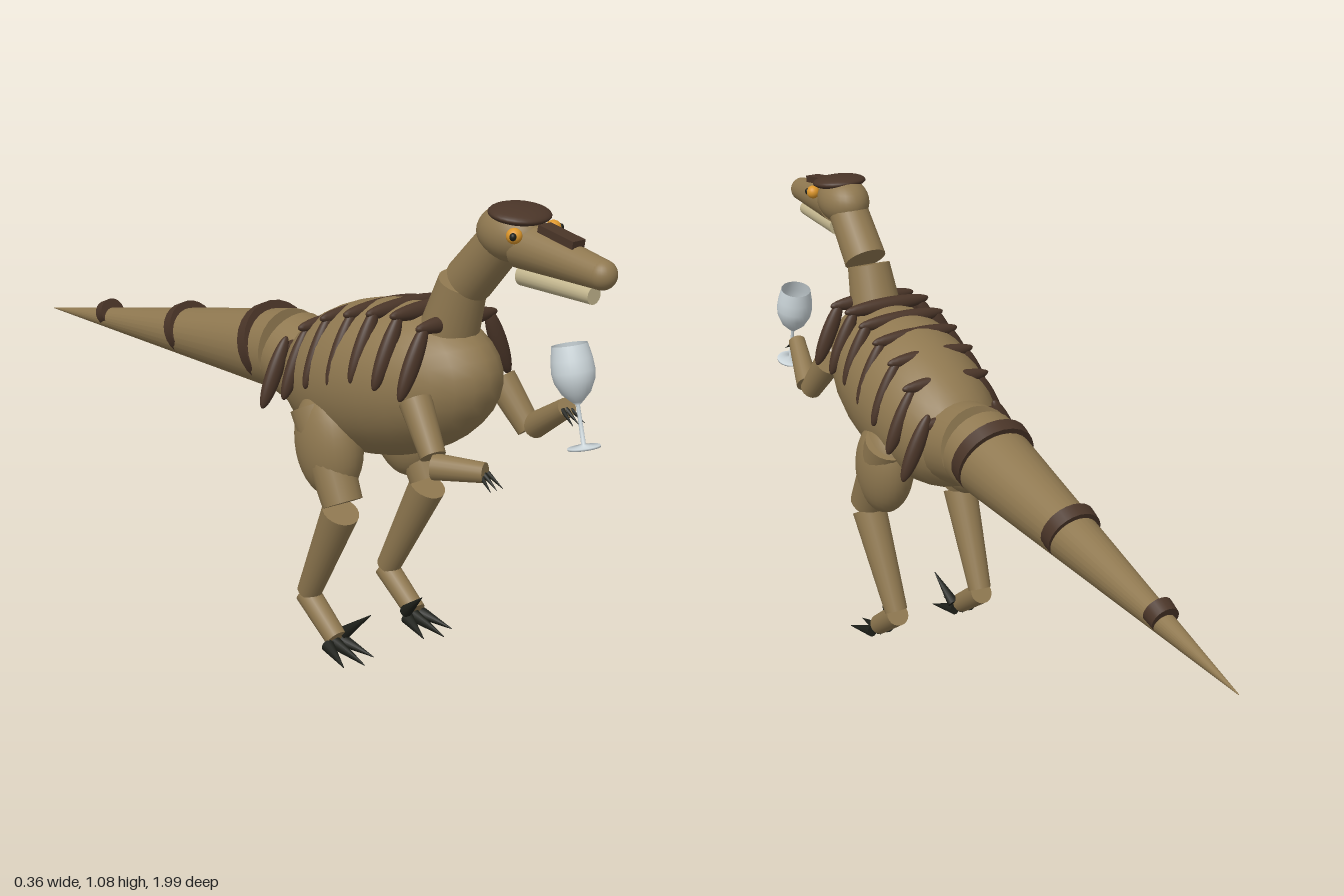
import * as THREE from 'three';

const mat = (name, color) => {
  const m = new THREE.MeshStandardMaterial({ color });
  m.name = name;
  return m;
};

export function createModel() {
  const root = new THREE.Group();
  root.name = 'dinosaurWithGlass';
  const hide = mat('hide', 0x8f7850);
  const stripe = mat('stripe', 0x4a3528);
  const cream = mat('cream', 0xc4b78f);
  const claw = mat('claw', 0x1d1f19);
  const amber = mat('amber', 0xdc962a);
  const glass = mat('glass', 0xccd6da);
  glass.side = THREE.DoubleSide;

  const add = (name, geo, material, parent = root) => {
    const mesh = new THREE.Mesh(geo, material);
    mesh.name = name;
    parent.add(mesh);
    return mesh;
  };

  // Tapered cylinder running from point a to point b
  const limb = (name, material, a, b, ra, rb, sides = 20) => {
    const p = new THREE.Vector3(...a), q = new THREE.Vector3(...b);
    const d = q.clone().sub(p);
    const mesh = add(name, new THREE.CylinderGeometry(rb, ra, d.length(), sides), material);
    mesh.position.copy(p).add(q).multiplyScalar(0.5);
    mesh.quaternion.setFromUnitVectors(new THREE.Vector3(0, 1, 0), d.normalize());
    return mesh;
  };

  const ellipsoid = (name, material, c, r, rot = [0, 0, 0]) => {
    const mesh = add(name, new THREE.SphereGeometry(1, 28, 18), material);
    mesh.position.set(...c);
    mesh.scale.set(...r);
    mesh.rotation.set(...rot);
    return mesh;
  };

  // Torso and hips
  ellipsoid('torso', hide, [0, 0.63, 0.365], [0.16, 0.172, 0.32], [-0.25, 0, 0]);
  limb('hips', hide, [0, 0.575, 0.2], [0, 0.607, 0.04], 0.105, 0.097, 28);

  // Tail with slanted bands
  limb('tail', hide, [0, 0.607, 0.03], [0, 0.48, -0.99], 0.097, 0.001, 28);
  [[-0.03, 0.61, 0.099], [-0.37, 0.567, 0.066], [-0.72, 0.528, 0.034]].forEach(([z, y, r]) => {
    const band = add('tailBand', new THREE.CylinderGeometry(r - 0.002, r, 0.032, 24), stripe);
    band.position.set(0, y, z);
    band.rotation.x = -Math.PI / 2 - 0.35;
  });

  // Neck in two pieces
  limb('lowerNeck', hide, [0, 0.74, 0.54], [0, 0.888, 0.59], 0.067, 0.052, 24);
  limb('upperNeck', hide, [0, 0.896, 0.608], [0, 1.02, 0.72], 0.052, 0.048, 24);

  // Head
  ellipsoid('skull', hide, [0, 1.017, 0.725], [0.061, 0.058, 0.08]);
  limb('snout', hide, [0, 1.0, 0.76], [0, 0.982, 0.968], 0.049, 0.03, 24);
  ellipsoid('noseTip', hide, [0, 0.982, 0.968], [0.03, 0.03, 0.03]);
  limb('lowerJaw', cream, [0, 0.94, 0.76], [0, 0.937, 0.95], 0.023, 0.018);
  ellipsoid('crown', stripe, [0, 1.06, 0.745], [0.067, 0.017, 0.06], [0.12, 0, 0]);
  const blaze = add('snoutStripe', new THREE.BoxGeometry(0.034, 0.016, 0.095), stripe);
  blaze.position.set(0, 1.036, 0.858);
  blaze.rotation.x = 0.17;

  // Stripes over the back: z, top height, flank height
  const bars = [[0.575, 0.803, 0.735], [0.495, 0.812, 0.738], [0.42, 0.8, 0.735],
    [0.347, 0.782, 0.71], [0.27, 0.756, 0.685], [0.195, 0.718, 0.64], [0.12, 0.65, 0.6]];
  bars.forEach(([z, top, flank]) => {
    ellipsoid('backStripe', stripe, [0, top, z], [0.115, 0.02, 0.017]);
    for (const s of [-1, 1]) {
      ellipsoid('flankStripe', stripe, [s * 0.121, flank, z], [0.02, 0.085, 0.016], [0, 0, s * 0.42]);
    }
  });

  for (const s of [-1, 1]) {
    // Eyes
    ellipsoid('eye', amber, [s * 0.054, 1.03, 0.785], [0.016, 0.016, 0.016]);
    ellipsoid('pupil', claw, [s * 0.065, 1.031, 0.793], [0.007, 0.008, 0.007]);

    // Legs
    ellipsoid('thigh', hide, [s * 0.112, 0.485, 0.3], [0.066, 0.125, 0.088], [-0.15, 0, 0]);
    limb('upperLeg', hide, [s * 0.12, 0.56, 0.262], [s * 0.126, 0.365, 0.365], 0.056, 0.045);
    limb('shin', hide, [s * 0.127, 0.345, 0.36], [s * 0.118, 0.115, 0.243], 0.042, 0.028);
    limb('foot', hide, [s * 0.118, 0.108, 0.235], [s * 0.118, 0.032, 0.338], 0.028, 0.025);
    for (const t of [-1, 0, 1]) {
      limb('toeClaw', claw, [s * 0.118 + t * 0.022, 0.02, 0.335],
        [s * 0.118 + t * 0.043, 0.003, t ? 0.415 : 0.435], 0.015, 0.001, 10);
    }
    limb('raisedClaw', claw, [s * 0.092, 0.038, 0.335], [s * 0.076, 0.1, 0.405], 0.015, 0.001, 10);

    // Arms: the left forearm is raised to hold the glass
    const hand = s > 0 ? [0.115, 0.645, 0.785] : [-0.092, 0.545, 0.765];
    const elbow = s > 0 ? [0.14, 0.57, 0.672] : [-0.138, 0.54, 0.665];
    limb('upperArm', hide, [s * 0.12, 0.655, 0.585], [s * 0.137, 0.56, 0.66], 0.035, 0.027);
    limb('forearm', hide, elbow, hand, 0.028, 0.021);
    for (const t of [-1, 0, 1]) {
      const [x, y, z] = hand;
      limb('fingerClaw', claw, [x + t * 0.01, y - 0.004, z - 0.003],
        [x + t * 0.017, y - 0.028, z + 0.035], 0.006, 0.0005, 8);
    }
  }

  // Stemmed glass, leaning back
  const cup = new THREE.Group();
  cup.name = 'stemmedGlass';
  cup.position.set(0.11, 0.573, 0.842);
  cup.rotation.x = -0.25;
  root.add(cup);
  const profile = [[0, 0], [0.034, 0], [0.034, 0.004], [0.005, 0.009], [0.004, 0.09], [0.012, 0.097],
    [0.03, 0.115], [0.042, 0.14], [0.045, 0.16], [0.043, 0.185], [0.037, 0.215]];
  add('glassBody', new THREE.LatheGeometry(profile.map(p => new THREE.Vector2(...p)), 28), glass, cup);
  const drink = add('drink', new THREE.CircleGeometry(0.041, 28), stripe, cup);
  drink.rotation.x = -Math.PI / 2;
  drink.position.y = 0.165;

  return root;
}
